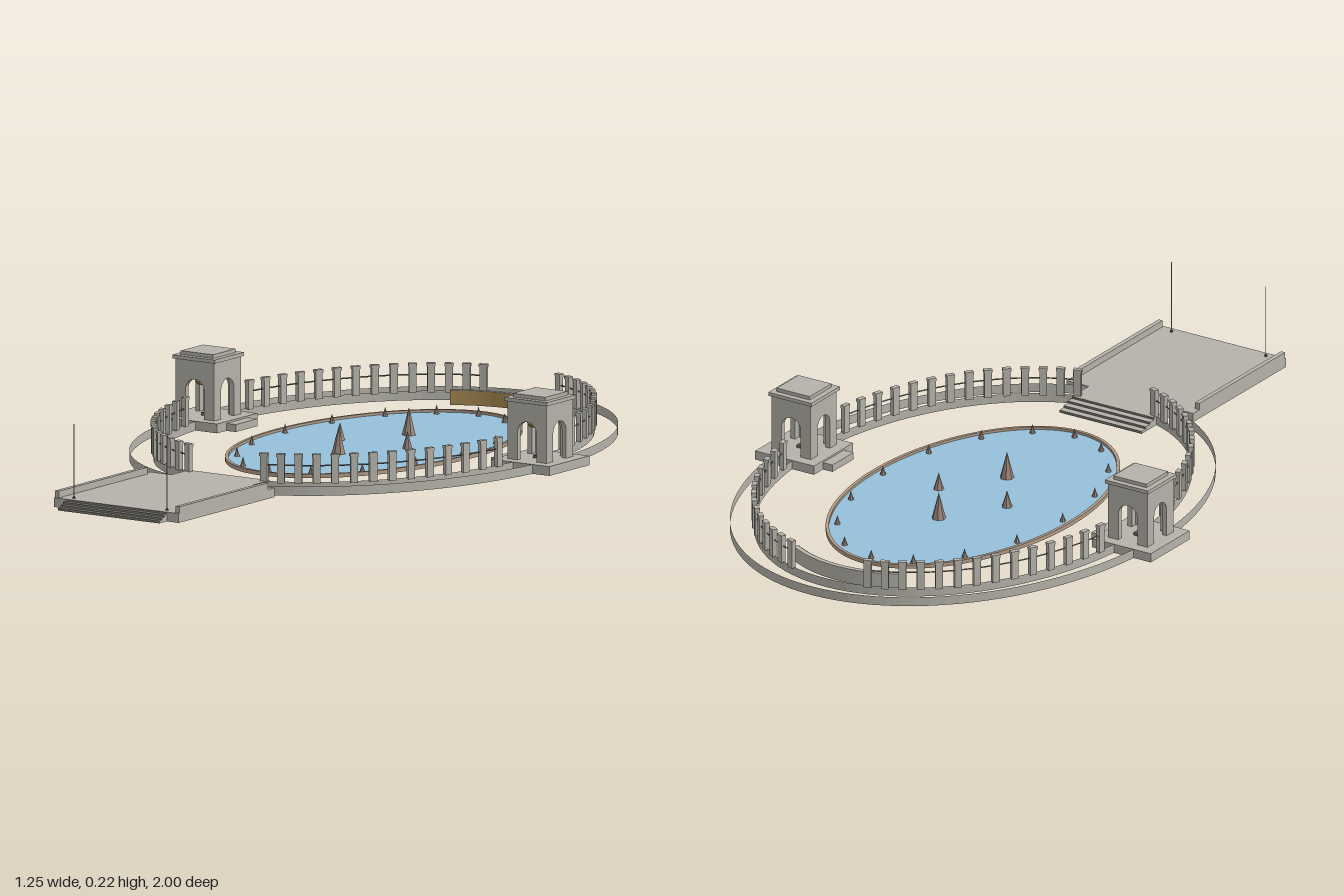
import * as THREE from 'three';

const CZ = -0.23; // centre of the oval along z

export function createModel() {
  const root = new THREE.Group();
  root.name = 'memorialPlaza';
  const mat = (name, color, side = THREE.FrontSide) => {
    const m = new THREE.MeshStandardMaterial({ color, side, flatShading: true });
    m.name = name;
    return m;
  };
  const stone = mat('stone', 0xb4b2a9);
  const openStone = mat('openStone', 0xb4b2a9, THREE.DoubleSide);
  const darkStone = mat('darkStone', 0x77746d);
  const water = mat('water', 0x95c0d9, THREE.DoubleSide);
  const rimStone = mat('rimStone', 0xb09a86);
  const gold = mat('gold', 0xa88a52, THREE.DoubleSide);
  const bronze = mat('bronze', 0x6e6a62);
  const spray = mat('fountainStone', 0x97857a);

  const add = (name, geo, m, x = 0, y = 0, z = 0, parent = root) => {
    const mesh = new THREE.Mesh(geo, m);
    mesh.name = name;
    mesh.position.set(x, y, z);
    parent.add(mesh);
    return mesh;
  };
  // box given by its centre in x and z and its bottom and top
  const block = (name, m, w, d, y0, y1, x, z, parent) =>
    add(name, new THREE.BoxGeometry(w, y1 - y0, d), m, x, (y0 + y1) / 2, z, parent);
  // hollow box on the ground without its bottom face
  const shell = (name, w, d, h, x, z, parent) => {
    const geo = new THREE.BoxGeometry(w, h, d);
    const index = Array.from(geo.index.array);
    index.splice(18, 6);
    geo.setIndex(index);
    geo.clearGroups();
    return add(name, geo, openStone, x, h / 2, z, parent);
  };

  // Oval pool with rim
  const rim = new THREE.Shape().absellipse(0, 0, 0.315, 0.518, 0, Math.PI * 2);
  rim.holes.push(new THREE.Path().absellipse(0, 0, 0.306, 0.509, 0, Math.PI * 2));
  add('poolRim', new THREE.ExtrudeGeometry(rim, { depth: 0.011, bevelEnabled: false, curveSegments: 64 })
    .rotateX(-Math.PI / 2), rimStone, 0, 0, CZ);
  add('water', new THREE.CircleGeometry(1, 64).rotateX(-Math.PI / 2).scale(0.309, 1, 0.512), water, 0, 0.004, CZ);

  // Fountain cones: four in the middle, sixteen round the edge
  const cone = (name, r, h, x, z) => add(name, new THREE.ConeGeometry(r, h, 7), spray, x, 0.004 + h / 2, z);
  for (const s of [-1, 1]) {
    cone('tallFountain', 0.019, 0.074, 0, CZ + s * 0.163);
    cone('shortFountain', 0.014, 0.047, s * 0.108, CZ);
  }
  for (let i = 0; i < 16; i++) {
    const a = i * Math.PI / 8;
    cone('edgeFountain', 0.008, 0.025, 0.284 * Math.cos(a), CZ + 0.486 * Math.sin(a));
  }

  // Thin upright oval walls, open at the front steps
  const band = (name, rx, rz, h, gap) => add(name,
    new THREE.CylinderGeometry(1, 1, h, 96, 1, true, gap, Math.PI * 2 - 2 * gap).scale(rx, 1, rz),
    openStone, 0, h / 2, CZ);
  const RX = 0.513, RZ = 0.704;
  band('outerWall', 0.575, 0.77, 0.025, 0.228);
  band('innerWall', RX, RZ, 0.025, 0.237);

  // Four arcs of pillars joined by a rail
  const A0 = 0.213, A1 = 1.333, N = 14;
  const shaft = new THREE.BoxGeometry(0.012, 0.071, 0.02);
  const cap = new THREE.BoxGeometry(0.014, 0.008, 0.023);
  for (const sx of [-1, 1]) for (const sz of [-1, 1]) {
    const path = [];
    for (let i = 0; i < N; i++) {
      const a = A0 + (A1 - A0) * i / (N - 1);
      const x = sx * RX * Math.cos(a), z = CZ + sz * RZ * Math.sin(a);
      const pillar = new THREE.Group();
      pillar.name = 'pillar';
      pillar.position.set(x, 0, z);
      pillar.rotation.y = Math.atan2(-sx * RX * Math.sin(a), sz * RZ * Math.cos(a));
      add('pillarShaft', shaft, stone, 0, 0.0565, 0, pillar);
      add('pillarCap', cap, stone, 0, 0.096, 0, pillar);
      root.add(pillar);
      path.push(new THREE.Vector3(x, 0.069, z));
    }
    add('pillarRail', new THREE.TubeGeometry(new THREE.CatmullRomCurve3(path), 52, 0.002, 4), bronze);
  }

  // Curved wall at the back with a gold inner face
  const arc = new THREE.Shape();
  const half = 0.57, R = 0.315, AZ = -0.565;
  arc.absarc(0, 0, R, Math.PI / 2 - half, Math.PI / 2 + half, false);
  arc.absarc(0, 0, R - 0.014, Math.PI / 2 + half, Math.PI / 2 - half, true);
  add('backWall', new THREE.ExtrudeGeometry(arc, { depth: 0.04, bevelEnabled: false, curveSegments: 20 })
    .rotateX(-Math.PI / 2), stone, 0, 0, AZ);
  add('goldPanel', new THREE.CylinderGeometry(R - 0.016, R - 0.016, 0.038, 24, 1, true,
    Math.PI - half, 2 * half), gold, 0, 0.02, AZ);

  // Pavilions: four arched walls, stepped roof, hollow plinth and inner step
  const face = new THREE.Shape();
  face.moveTo(-0.062, 0).lineTo(-0.03, 0).lineTo(-0.03, 0.075);
  face.absarc(0, 0.075, 0.03, Math.PI, 0, true);
  face.lineTo(0.03, 0).lineTo(0.062, 0).lineTo(0.062, 0.157).lineTo(-0.062, 0.157);
  const wall = new THREE.ExtrudeGeometry(face, { depth: 0.014, bevelEnabled: false, curveSegments: 8 })
    .translate(0, 0, 0.048);
  for (const s of [-1, 1]) {
    const p = new THREE.Group();
    p.name = 'pavilion';
    p.position.set(s * 0.532, 0, CZ - 0.002);
    root.add(p);
    shell('plinth', 0.186, 0.186, 0.025, 0, 0, p);
    shell('plinthStep', 0.03, 0.1, 0.02, -s * 0.108, 0, p);
    for (let k = 0; k < 4; k++) add('archedWall', wall, stone, 0, 0.025, 0, p).rotation.y = k * Math.PI / 2;
    block('cornice', stone, 0.136, 0.136, 0.18, 0.19, 0, 0, p);
    block('roof', stone, 0.104, 0.104, 0.19, 0.2, 0, 0, p);
    block('floorMedallion', bronze, 0.028, 0.028, 0.025, 0.033, 0, 0, p);
    add('hangingWreath', new THREE.TorusGeometry(0.03, 0.003, 5, 16).rotateX(Math.PI / 2), gold, 0, 0.113, 0, p);
  }

  // Hollow front terrace and landing
  shell('terrace', 0.4, 0.445, 0.025, 0, 0.7425);
  shell('landing', 0.26, 0.08, 0.025, 0, 0.48);

  // Flights of steps with dark risers, to the front and down to the pool
  const flight = (name, w, z0, dir, tread) => {
    for (let i = 0; i < 3; i++) {
      const h = 0.019 - i * 0.006, z = z0 + dir * tread * (i + 0.5);
      shell(name, w, tread, h, 0, z);
      block(name + 'Riser', darkStone, w - 0.002, 0.001, i < 2 ? h - 0.006 : 0, h, 0,
        z + dir * (tread / 2 - 0.0003));
    }
    block(name + 'TopRiser', darkStone, w - 0.002, 0.001, 0.019, 0.0248, 0, z0);
  };
  flight('frontStep', 0.325, 0.965, 1, 0.0116);
  flight('poolStep', 0.26, 0.44, -1, 0.02);

  // Low side walls and flagpoles
  for (const s of [-1, 1]) {
    block('terraceWall', stone, 0.013, 0.41, 0.025, 0.043, s * 0.1935, 0.755);
    add('flagpoleBase', new THREE.CylinderGeometry(0.003, 0.004, 0.006, 8), bronze, s * 0.149, 0.028, 0.945);
    add('flagpole', new THREE.CylinderGeometry(0.0008, 0.001, 0.2, 6), stone, s * 0.149, 0.125, 0.945);
  }
  return root;
}
